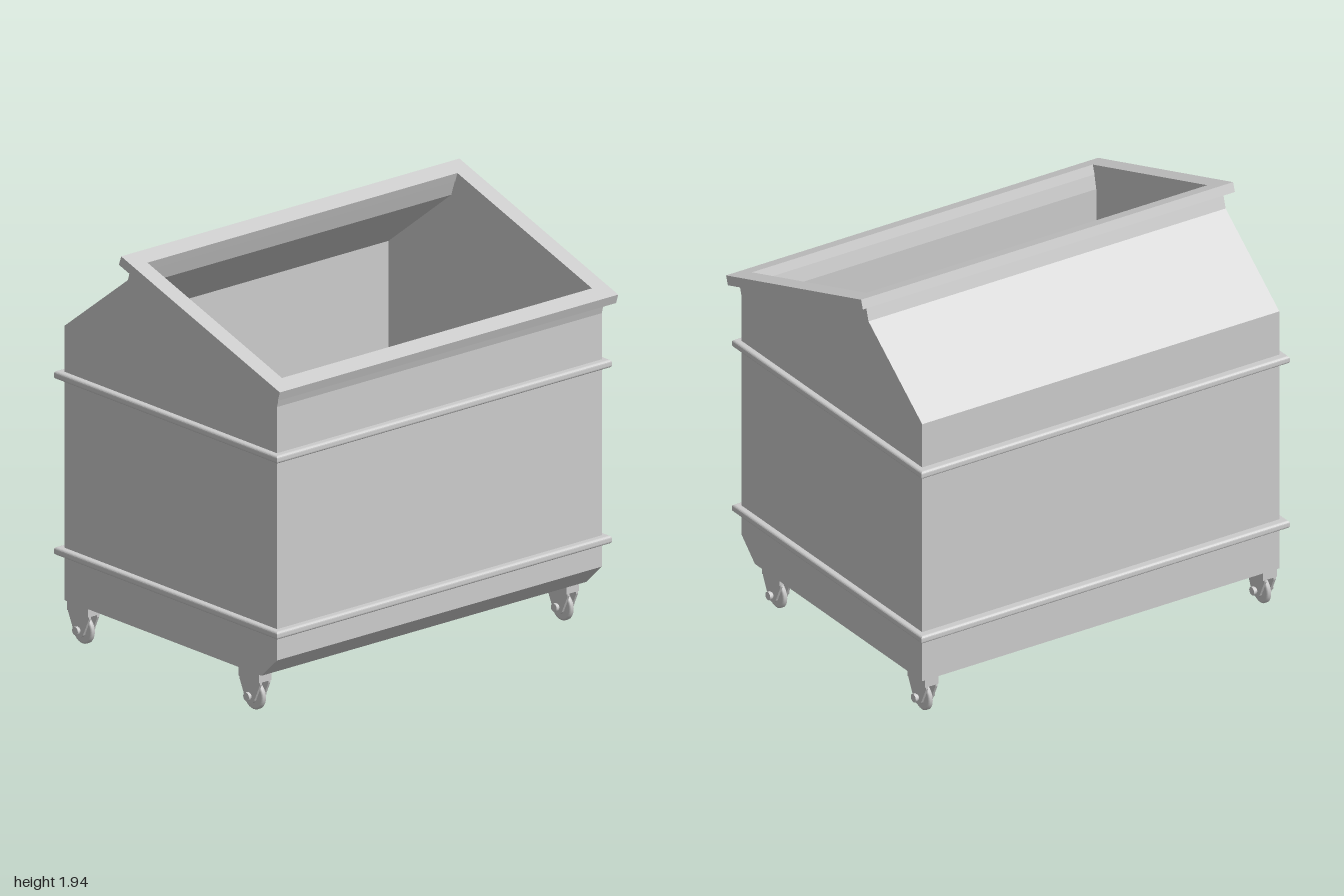
import * as THREE from 'three';

const material = new THREE.MeshStandardMaterial({ color: 0xcccccc });

function add(parent, name, geometry, x = 0, y = 0, z = 0) {
  const mesh = new THREE.Mesh(geometry, material);
  mesh.name = name;
  mesh.position.set(x, y, z);
  parent.add(mesh);
  return mesh;
}

const toShape = points => new THREE.Shape(points.map(([a, b]) => new THREE.Vector2(a, b)));

// Extrudes a side profile given as (z, y), centred along x.
function sideExtrude(shape, width) {
  return new THREE.ExtrudeGeometry(shape, { depth: width, bevelEnabled: false, curveSegments: 10 })
    .translate(0, 0, -width / 2).rotateY(-Math.PI / 2);
}

// Rectangular frame in the xy plane.
function frame(outerX, outerY, innerX, innerY, options) {
  const rect = (a, b) => [[-a, -b], [a, -b], [a, b], [-a, b]];
  const shape = toShape(rect(outerX, outerY));
  shape.holes.push(toShape(rect(innerX, innerY)));
  return new THREE.ExtrudeGeometry(shape, options);
}

function createCaster() {
  const caster = new THREE.Group();
  caster.name = 'caster';
  const axleY = 0.067;

  // Narrow wheel with softened tread edges
  const tread = [[0, -0.013], [0.058, -0.013], [0.068, -0.007], [0.068, 0.007], [0.058, 0.013], [0, 0.013]];
  const wheel = new THREE.LatheGeometry(tread.map(([r, h]) => new THREE.Vector2(r, h)), 28);
  add(caster, 'wheel', wheel.rotateZ(Math.PI / 2), 0, axleY, 0);

  // Fork: two tapered cheeks below a mounting block
  const cheek = new THREE.Shape();
  cheek.moveTo(-0.07, 0.19);
  cheek.lineTo(-0.07, 0.135);
  cheek.lineTo(-0.034, 0.058);
  cheek.absarc(0, axleY, 0.035, Math.PI * 1.09, Math.PI * 1.91, false);
  cheek.lineTo(0.07, 0.135);
  cheek.lineTo(0.07, 0.19);
  for (const side of [-1, 1]) {
    add(caster, 'forkCheek', sideExtrude(cheek, 0.012), side * 0.025, 0, 0);
    add(caster, 'axleNut', new THREE.CylinderGeometry(0.02, 0.02, 0.014, 12).rotateZ(Math.PI / 2),
      side * 0.045, axleY, 0);
  }
  add(caster, 'forkTop', new THREE.BoxGeometry(0.074, 0.045, 0.14), 0, 0.168, 0);
  add(caster, 'axle', new THREE.CylinderGeometry(0.014, 0.014, 0.1, 14).rotateZ(Math.PI / 2), 0, axleY, 0);
  return caster;
}

export function createModel() {
  const model = new THREE.Group();
  model.name = 'wheeledBin';

  // Side profile of the container, (z, y), from front lip round the bottom to back lip
  const outer = [[0.73, 1.56], [0.71, 1.49], [0.71, 0.29], [0.605, 0.19],
    [-0.735, 0.19], [-0.735, 1.49], [-0.305, 1.82], [-0.283, 1.893]];
  const inner = [[-0.239, 1.877], [-0.265, 1.80], [-0.692, 1.468], [-0.692, 0.233],
    [0.588, 0.233], [0.667, 0.31], [0.667, 1.50], [0.683, 1.575]];
  const innerX = 0.917, outerX = 0.96, wall = outerX - innerX;
  add(model, 'containerShell', sideExtrude(toShape([...outer, ...inner]), innerX * 2));
  for (const side of [-1, 1]) {
    add(model, 'sideWall', sideExtrude(toShape(outer), wall), side * (innerX + wall / 2), 0, 0);
  }

  // Sloping rim around the opening
  const rim = add(model, 'rim',
    frame(1, 0.569, 0.916, 0.482, { depth: 0.046, bevelEnabled: false }), 0, 1.72, 0.221);
  rim.rotation.x = -(Math.PI / 2 - 0.318);

  // Rounded reinforcing bands
  const bevel = 0.012;
  const bandOptions = { depth: 0.013, bevelThickness: bevel, bevelSize: bevel, bevelSegments: 4 };
  for (const y of [0.42, 1.253]) {
    const band = frame(0.99 - bevel, 0.76 - bevel, 0.945, 0.71, bandOptions)
      .translate(0, 0, -0.0065).rotateX(-Math.PI / 2);
    add(model, 'reinforcingBand', band, 0, y, -0.015);
  }

  // Casters at the four corners
  for (const x of [-0.917, 0.902]) {
    for (const z of [0.51, -0.655]) {
      const caster = createCaster();
      caster.position.set(x, 0, z);
      model.add(caster);
    }
  }
  return model;
}
